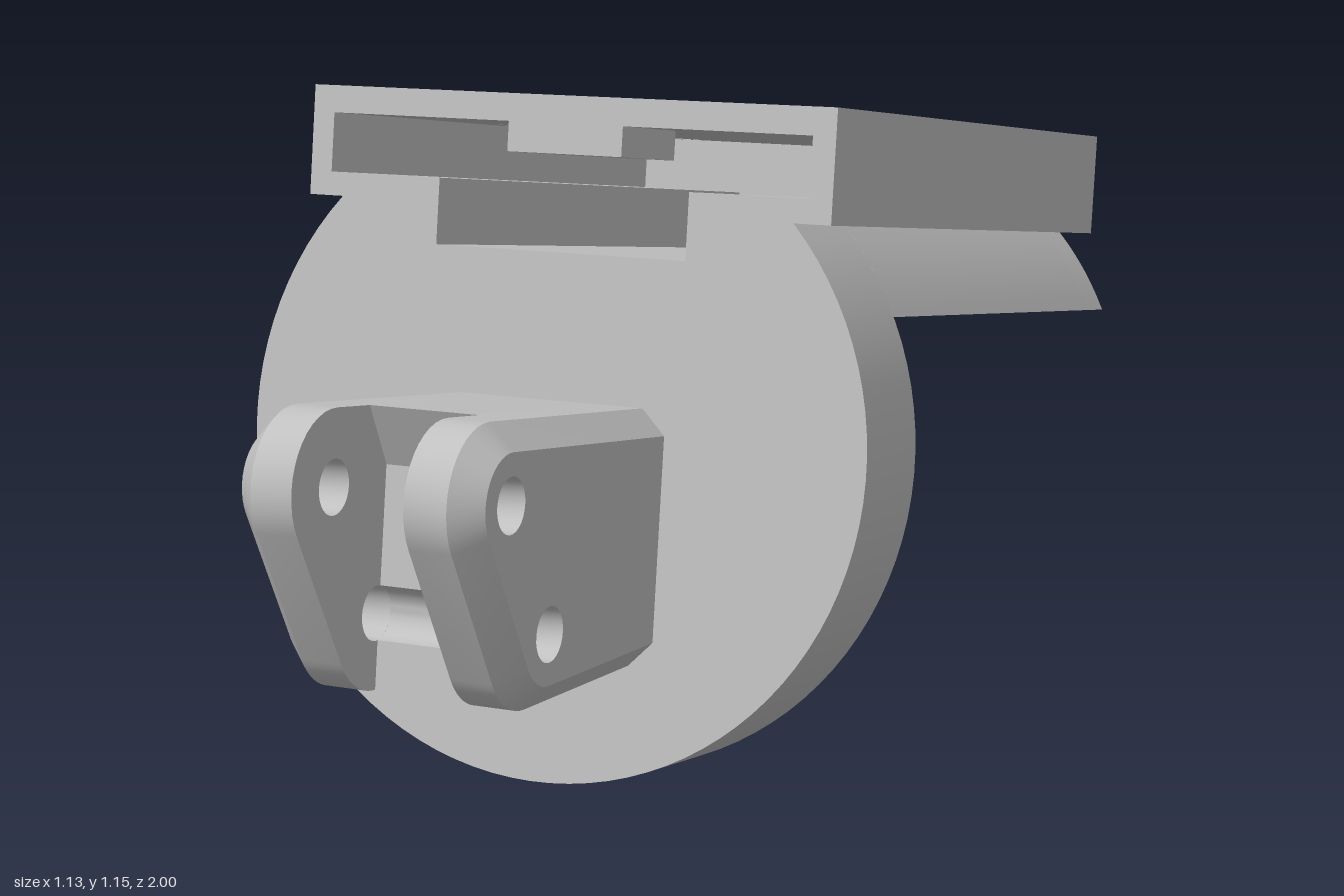
import * as THREE from 'three';
import { mergeGeometries, toCreasedNormals } from 'three/addons/utils/BufferGeometryUtils.js';

const V = (x, y) => new THREE.Vector2(x, y);

// Points on an arc from angle a to b
function arc(cx, cy, r, a, b, n) {
  return Array.from({ length: n + 1 }, (_, i) => {
    const t = a + (b - a) * i / n;
    return V(cx + r * Math.cos(t), cy + r * Math.sin(t));
  });
}

const extrude = (shape, depth, z) =>
  new THREE.ExtrudeGeometry(shape, { depth, bevelEnabled: false, curveSegments: 16 }).translate(0, 0, z);

// Side wall between two loops of equal length (counter-clockwise faces outward)
function loft(a, b, za, zb) {
  const p = [];
  a.forEach((_, i) => {
    const j = (i + 1) % a.length;
    p.push(a[i].x, a[i].y, za, a[j].x, a[j].y, za, b[j].x, b[j].y, zb);
    p.push(a[i].x, a[i].y, za, b[j].x, b[j].y, zb, b[i].x, b[i].y, zb);
  });
  const g = new THREE.BufferGeometry();
  g.setAttribute('position', new THREE.Float32BufferAttribute(p, 3));
  g.computeVertexNormals();
  return g;
}

function merge(list) {
  return mergeGeometries(list.map((g) => {
    const n = g.index ? g.toNonIndexed() : g;
    n.deleteAttribute('uv');
    return n;
  }));
}

// Section of the body: slab, optional T-shaped pocket, rounded lower part
const DISC_Y = -0.569, DISC_R = 0.565, STEP = -0.186, UNDER = -0.331, LID = 0.046;
function bodyShape(fullDisc, pocket) {
  const a1 = Math.asin((STEP - DISC_Y) / DISC_R), a2 = Math.asin((UNDER - DISC_Y) / DISC_R);
  const pts = [V(0.48, -LID)];
  if (pocket) {
    pts.push(V(0.44, -LID), V(0.44, -0.146), V(0.23, -0.146), V(0.23, -0.257),
      V(-0.23, -0.257), V(-0.23, -0.146), V(-0.44, -0.146), V(-0.44, -LID));
  }
  pts.push(V(-0.48, -LID), V(-0.48, STEP));
  if (fullDisc) pts.push(...arc(0, DISC_Y, DISC_R, Math.PI - a1, 2 * Math.PI + a1, 72));
  else {
    pts.push(...arc(0, DISC_Y, DISC_R, Math.PI - a1, Math.PI - a2, 6));
    pts.push(...arc(0, DISC_Y, DISC_R, a2, a1, 6));
  }
  pts.push(V(0.48, STEP));
  return new THREE.Shape(pts);
}

// Clevis side profile, rounded about its two pin holes
const TIP = V(0.515, -0.622), LOW = V(0.368, -0.829), PIN_R = 0.044;
function lugOutline(r) {
  const slope = -0.617, base = -1.651, root = -0.01;
  const rootY = LOW.y + (r - Math.cos(base) * (root - LOW.x)) / Math.sin(base);
  return [
    V(root, TIP.y + r),
    ...arc(TIP.x, TIP.y, r, Math.PI / 2, slope, 14),
    ...arc(LOW.x, LOW.y, r, slope, base, 10),
    V(root, rootY),
  ].reverse();
}

function lugGeometry() {
  const outer = lugOutline(0.122), inset = lugOutline(0.08);
  const holes = [TIP, LOW].map((c) => arc(c.x, c.y, PIN_R, 0, -2 * Math.PI, 28).slice(0, -1));
  const withHoles = (pts) => {
    const s = new THREE.Shape(pts);
    s.holes = holes.map((h) => new THREE.Path(h));
    return s;
  };
  return merge([
    extrude(withHoles(outer), 0.072, 0.096),
    loft(outer, inset, 0.168, 0.21),
    ...holes.map((h) => loft(h, h, 0.168, 0.21)),
    new THREE.ShapeGeometry(withHoles(inset)).translate(0, 0, 0.21),
  ]);
}

export function createModel() {
  const grey = new THREE.MeshStandardMaterial({ color: 0xc0c0c0 });
  grey.name = 'light grey';
  const model = new THREE.Group();
  model.name = 'slideMount';

  // Everything is tilted together, origin at the top front edge
  const tilted = new THREE.Group();
  tilted.name = 'tiltedBody';
  tilted.rotation.x = -0.127;
  tilted.position.set(0, 1.155, 0.287);
  model.add(tilted);

  const add = (parent, name, geo) => {
    const m = new THREE.Mesh(toCreasedNormals(geo, 0.45), grey);
    m.name = name;
    parent.add(m);
    return m;
  };

  // Disc, hollow slide and closed rear wall
  add(tilted, 'frontDisc', extrude(bodyShape(true, true), 0.21, -0.21));
  add(tilted, 'slideBody', extrude(bodyShape(false, true), 1.01, -1.22));
  add(tilted, 'rearWall', extrude(bodyShape(false, false), 0.08, -1.3));
  add(tilted, 'pocketTab', new THREE.BoxGeometry(0.21, 0.05, 0.2).translate(0, -LID - 0.025, -0.1));

  // Top plate with four screw holes
  const plate = new THREE.Shape([V(-0.48, -1.3), V(0.48, -1.3), V(0.48, 0), V(-0.48, 0)]);
  for (const x of [-0.345, 0.345]) {
    for (const z of [-0.495, -1.165]) {
      plate.holes.push(new THREE.Path(arc(x, z, 0.043, 0, -2 * Math.PI, 28).slice(0, -1)));
    }
  }
  add(tilted, 'topPlate', extrude(plate, LID, 0).rotateX(Math.PI / 2));

  // Clevis: drawn in side profile, then turned to face forward
  const clevis = new THREE.Group();
  clevis.name = 'clevis';
  clevis.rotation.y = -Math.PI / 2;
  tilted.add(clevis);
  const lug = lugGeometry();
  add(clevis, 'rightLug', lug);
  add(clevis, 'leftLug', lug).scale.z = -1;

  // Web between the lugs, grooved by the lower pin bore
  const web = new THREE.Shape([
    V(-0.01, -0.5), V(-0.01, -0.921), V(0.36, -0.951),
    ...arc(LOW.x, LOW.y, PIN_R, -1.75, -2 * Math.PI + 1.75, 14),
    V(0.36, -0.595), V(0.42, -0.5),
  ]);
  add(clevis, 'clevisWeb', extrude(web, 0.192, -0.096));

  return model;
}
